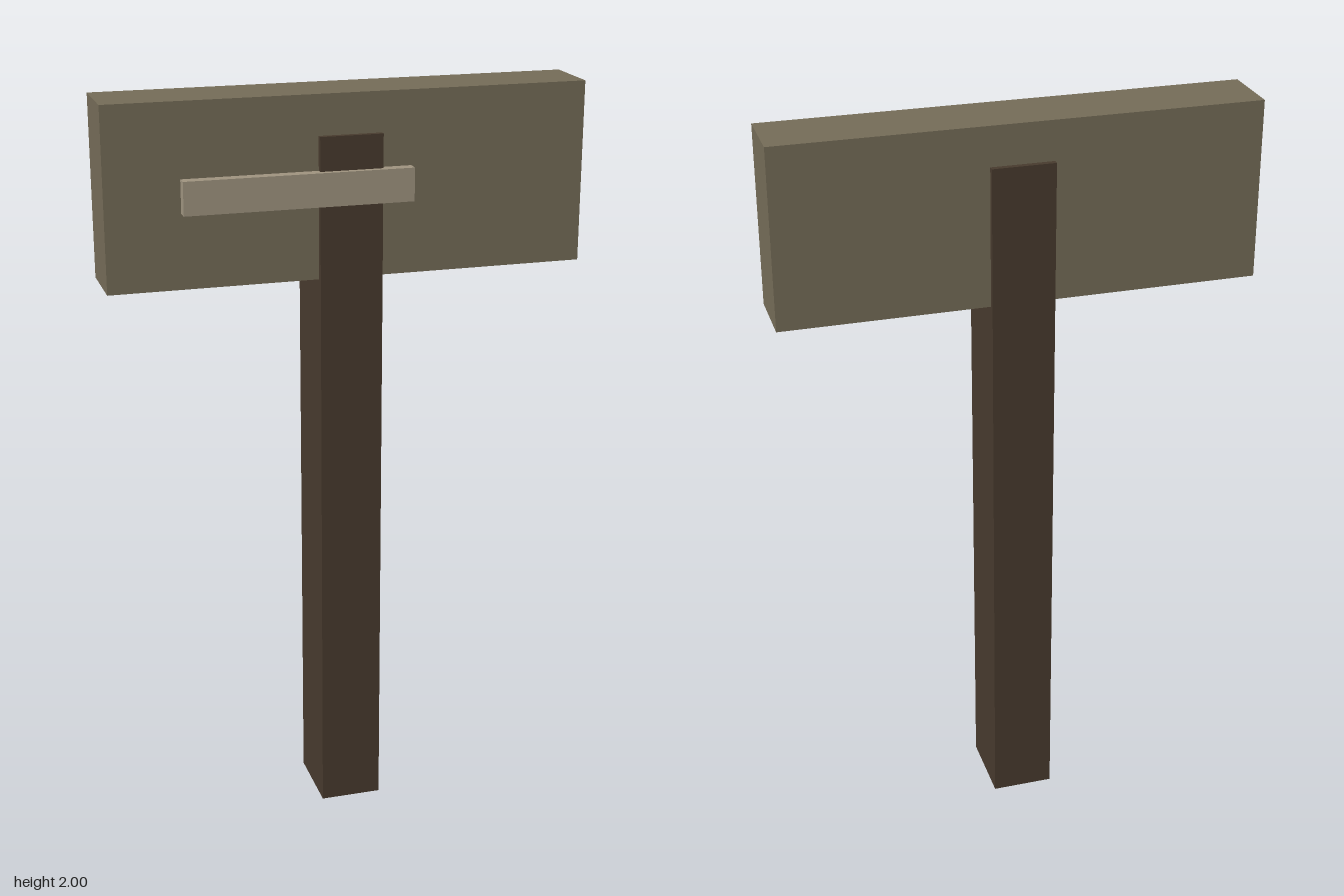
import * as THREE from 'three';

const darkWood = new THREE.MeshStandardMaterial({ name: 'darkWood', color: 0x473a2d });
const weatheredWood = new THREE.MeshStandardMaterial({ name: 'weatheredWood', color: 0x746b57 });
const paleWood = new THREE.MeshStandardMaterial({ name: 'paleWood', color: 0x9e937f });

// Box given by its lower and upper corners
function plank(name, material, min, max) {
  const size = max.map((v, i) => v - min[i]);
  const mesh = new THREE.Mesh(new THREE.BoxGeometry(...size), material);
  mesh.position.set(...max.map((v, i) => (v + min[i]) / 2));
  mesh.name = name;
  return mesh;
}

export function createModel() {
  const sign = new THREE.Group();
  sign.name = 'signpost';
  sign.add(
    // Upright, slightly deeper than the board so it shows on both faces
    plank('post', darkWood, [-0.083, 0, -0.113], [0.083, 1.895, 0.097]),
    // Wide sign board
    plank('board', weatheredWood, [-0.632, 1.525, -0.098], [0.632, 2, 0.082]),
    // Raised off-centre strip on the front
    plank('strip', paleWood, [-0.438, 1.72, 0.082], [0.162, 1.807, 0.113]),
  );
  return sign;
}
